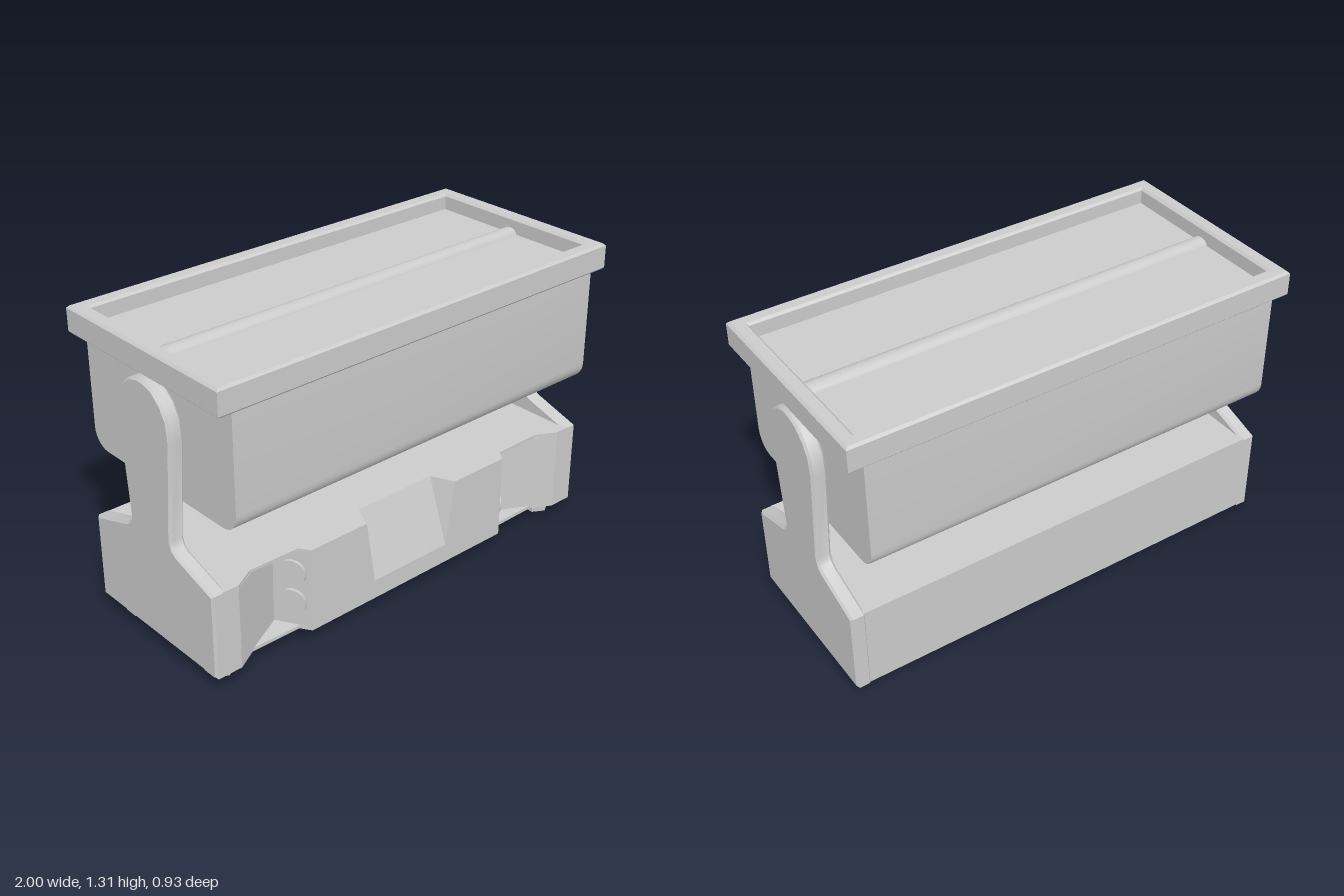
import * as THREE from 'three';
import { toCreasedNormals } from 'three/addons/utils/BufferGeometryUtils.js';
import { ConvexGeometry } from 'three/addons/geometries/ConvexGeometry.js';

const material = new THREE.MeshStandardMaterial({ color: 0xcccccc });

function add(parent, name, geometry, x = 0, y = 0, z = 0) {
  const mesh = new THREE.Mesh(geometry, material);
  mesh.name = name;
  mesh.position.set(x, y, z);
  parent.add(mesh);
  return mesh;
}

// Extrude a plan outline (x, z) upward from y0 to y1
function slab(shape, y0, y1, bevel = 0) {
  const g = new THREE.ExtrudeGeometry(shape, {
    depth: y1 - y0 - 2 * bevel, bevelEnabled: bevel > 0, bevelThickness: bevel,
    bevelSize: bevel, bevelOffset: -bevel, bevelSegments: 1,
  });
  return g.rotateX(-Math.PI / 2).translate(0, y0 + bevel, 0);
}

// Extrude a side profile (z, y) along x, centred on x = 0
function sideways(shape, width, bevel = 0) {
  const depth = width - 2 * bevel;
  const g = new THREE.ExtrudeGeometry(shape, {
    depth, bevelEnabled: bevel > 0, bevelThickness: bevel, bevelSize: bevel,
    bevelOffset: -bevel, bevelSegments: 1, curveSegments: 3,
  });
  g.translate(0, 0, -depth / 2).rotateY(Math.PI / 2);
  return toCreasedNormals(g, 0.6);
}

function rect(w, d) {
  return [[-w, -d], [w, -d], [w, d], [-w, d]].map(([x, y]) => new THREE.Vector2(x, y));
}

// Mirrored plan outline: the front edge is given for +x from the middle outward
function basePlan(front) {
  const right = front.map(([x, z]) => new THREE.Vector2(x, -z));
  const left = front.map(([x, z]) => new THREE.Vector2(-x, -z)).reverse();
  return new THREE.Shape([...left, ...right, new THREE.Vector2(0.95, 0.375), new THREE.Vector2(-0.95, 0.375)]);
}

function createBase() {
  const base = new THREE.Group();
  base.name = 'base';
  const opening = [[0.245, 0.28], [0.245, 0.38]];
  const deep = [[0.53, 0.38], [0.61, 0.24], [0.88, 0.38], [0.95, 0.38]];
  const shallow = [[0.53, 0.38], [0.56, 0.335], [0.79, 0.33], [0.88, 0.38], [0.95, 0.38]];
  add(base, 'baseBottomPlate', slab(basePlan(shallow), 0.06, 0.075));
  add(base, 'baseCore', slab(basePlan([...opening, ...deep]), 0.075, 0.422));
  add(base, 'baseTopPlate', slab(basePlan([...opening, ...shallow]), 0.422, 0.435));

  // Sloped panel set into the middle of the front
  add(base, 'panelSill', new THREE.BoxGeometry(0.49, 0.07, 0.1), 0, 0.11, 0.33);
  const v = (x, y, z) => new THREE.Vector3(x, y, z);
  const wedge = [];
  for (const x of [-0.2, 0.2]) wedge.push(v(x, 0.145, 0.28), v(x, 0.145, 0.38), v(x, 0.435, 0.28));
  add(base, 'slopedPanel', new ConvexGeometry(wedge));
  for (const s of [-1, 1]) {
    add(base, 'panelCheek', new ConvexGeometry([
      v(s * 0.245, 0.145, 0.28), v(s * 0.245, 0.145, 0.38), v(s * 0.2, 0.145, 0.38),
      v(s * 0.2, 0.145, 0.28), v(s * 0.245, 0.435, 0.38), v(s * 0.245, 0.435, 0.28),
      v(s * 0.2, 0.435, 0.28),
    ]));
  }

  // Round buttons on the angled walls of the recesses
  for (const [s, y] of [[-1, 0.32], [-1, 0.185], [1, 0.185]]) {
    const disc = new THREE.CylinderGeometry(0.058, 0.058, 0.02, 16).rotateX(Math.PI / 2);
    add(base, 'button', disc, s * 0.573, y, 0.312).rotation.y = s * Math.atan2(0.14, 0.08);
  }

  // Six-sided tapered feet
  for (const x of [-0.9, 0.9]) for (const z of [-0.265, 0.265]) {
    const foot = new THREE.CylinderGeometry(0.069, 0.06, 0.065, 6).toNonIndexed();
    foot.computeVertexNormals();
    add(base, 'foot', foot, x, 0.0325, z);
  }
  return base;
}

// Upright with a wide foot, narrow neck and rounded head
function bracketShape() {
  const half = [[0.38, 0.06], [0.38, 0.433], [0.165, 0.503], [0.14, 0.52], [0.128, 0.55], [0.167, 0.98]];
  for (const a of [20, 42, 64, 82]) {
    const t = a * Math.PI / 180;
    half.push([0.167 * Math.cos(t), 1.0 + 0.177 * Math.sin(t)]);
  }
  const pts = half.map(([z, y]) => new THREE.Vector2(z, y));
  const other = half.map(([z, y]) => new THREE.Vector2(-z, y)).reverse();
  return new THREE.Shape([...pts, ...other]);
}

function createTrough() {
  const trough = new THREE.Group();
  trough.name = 'trough';

  // Body with rounded lower edges
  const d = 0.45, y0 = 0.7, r = 0.08;
  const body = new THREE.Shape();
  body.moveTo(-d, 1.22);
  body.lineTo(-d, y0 + r);
  body.absarc(-d + r, y0 + r, r, Math.PI, 1.5 * Math.PI, false);
  body.absarc(d - r, y0 + r, r, 1.5 * Math.PI, 2 * Math.PI, false);
  body.lineTo(d, 1.22);
  add(trough, 'body', sideways(body, 1.86));

  // Chamfered rim around a sunken top with a low ridge
  const rim = new THREE.Shape(rect(0.997, 0.464));
  rim.holes.push(new THREE.Path(rect(0.932, 0.4)));
  add(trough, 'rim', slab(rim, 1.195, 1.31, 0.01));
  add(trough, 'sunkenTop', new THREE.BoxGeometry(1.9, 0.04, 0.83), 0, 1.22, 0);
  const ridge = new THREE.Shape();
  ridge.absellipse(0, 0, 0.04, 0.028, 0, Math.PI, false);
  add(trough, 'ridge', sideways(ridge, 1.86), 0, 1.238, -0.005);
  return trough;
}

export function createModel() {
  const model = new THREE.Group();
  model.name = 'tiltingTrough';
  model.add(createBase(), createTrough());
  const bracket = sideways(bracketShape(), 0.065, 0.01);
  add(model, 'leftBracket', bracket, 0.9675);
  add(model, 'rightBracket', bracket, -0.9675);
  return model;
}
